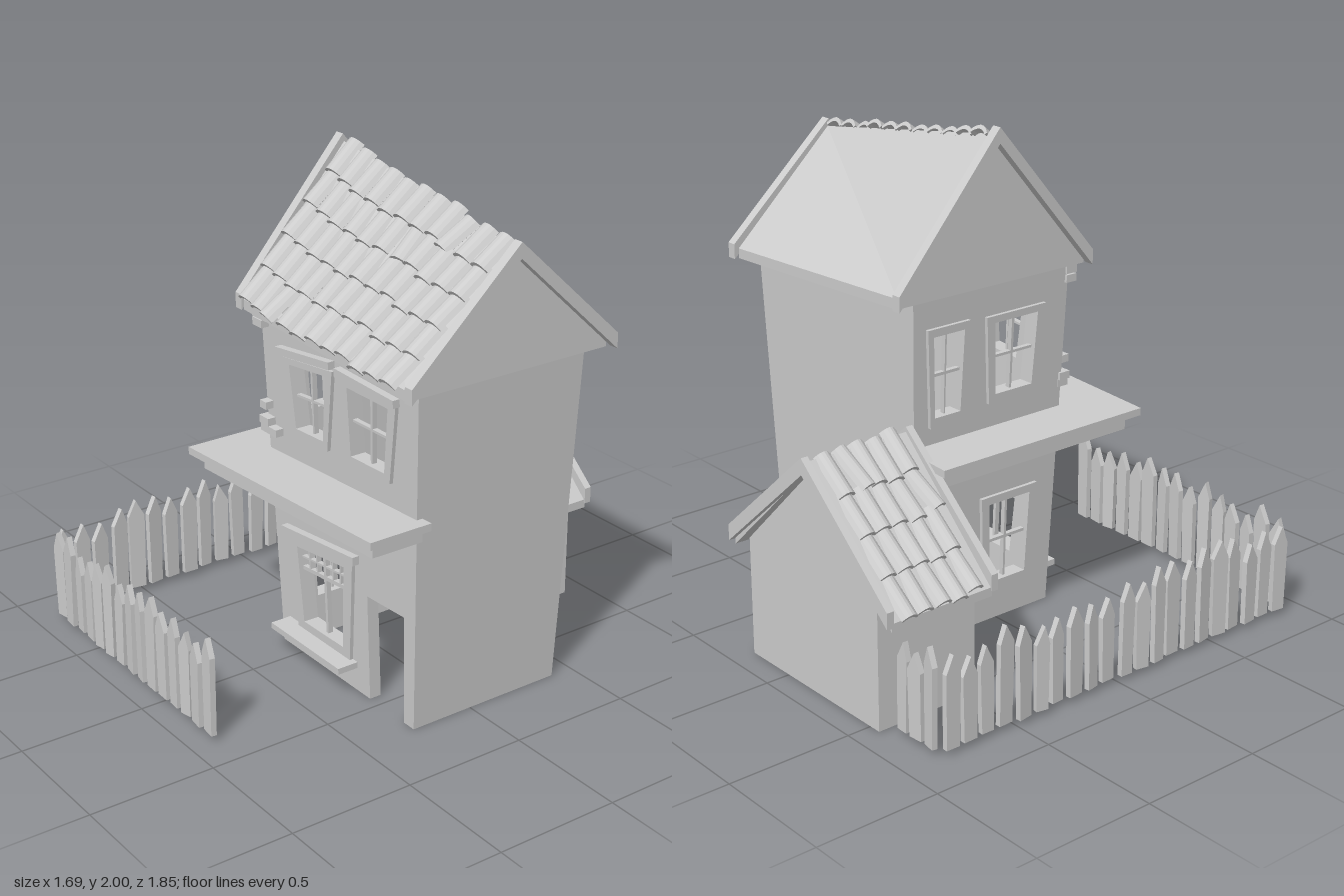
import * as THREE from 'three';

const gray = new THREE.MeshStandardMaterial({ color: 0xcccccc, side: THREE.DoubleSide });
gray.name = 'plainGray';

let seed = 7;
const rand = () => ((seed = (seed * 16807) % 2147483647) / 2147483647) * 2 - 1;
const V = (x, y, z) => new THREE.Vector3(x, y, z);

function add(parent, geometry, name) {
  const mesh = new THREE.Mesh(geometry, gray);
  mesh.name = name;
  parent.add(mesh);
  return mesh;
}
const poly = pts => new THREE.Shape(pts.map(p => new THREE.Vector2(p[0], p[1])));
const extrude = (shape, depth) => new THREE.ExtrudeGeometry(shape, { depth, bevelEnabled: false, curveSegments: 6 });

// Solid between two convex [z, y] sections at x0 and x1
function loft(x0, x1, a, b = a) {
  const pos = [], n = a.length;
  const A = i => [x0, a[i][1], a[i][0]], B = i => [x1, b[i][1], b[i][0]];
  for (let i = 0; i < n; i++) {
    const j = (i + 1) % n;
    pos.push(...A(i), ...A(j), ...B(j), ...A(i), ...B(j), ...B(i));
    if (i > 0 && i < n - 1) pos.push(...B(0), ...B(i), ...B(j), ...A(0), ...A(j), ...A(i));
  }
  const g = new THREE.BufferGeometry();
  g.setAttribute('position', new THREE.Float32BufferAttribute(pos, 3));
  g.computeVertexNormals();
  return g;
}

// Leaning wall planes: u along the wall, v up, w outward
const frontWarp = (u, v, w) => [u, v, 0.265 + 0.033 * v + w];
const leftWarp = (u, v, w) => [-0.13 - 0.04 * v - w, v, u];
function onWall(parent, warp, shape, w0, depth, name) {
  const g = extrude(shape, depth), p = g.attributes.position;
  for (let i = 0; i < p.count; i++) p.setXYZ(i, ...warp(p.getX(i), p.getY(i), p.getZ(i) + w0));
  g.computeVertexNormals();
  return add(parent, g, name);
}

// Crooked window: q = bottom left, bottom right, top right, top left
function makeWindow(parent, warp, q, name, lintel, lattice) {
  const group = new THREE.Group();
  group.name = name;
  parent.add(group);
  const P = (s, t) => [0, 1].map(k =>
    (1 - t) * ((1 - s) * q[0][k] + s * q[1][k]) + t * ((1 - s) * q[3][k] + s * q[2][k]));
  const rect = (s0, s1, t0, t1) => [P(s0, t0), P(s1, t0), P(s1, t1), P(s0, t1)];
  const inner = rect(0.13, 0.87, 0.1, 0.92);
  const frame = poly(q);
  frame.holes.push(poly(inner));
  onWall(group, warp, frame, -0.03, 0.045, 'windowFrame');
  const bar = (s0, s1, t0, t1) => onWall(group, warp, poly(rect(s0, s1, t0, t1)), -0.025, 0.02, 'glazingBar');
  bar(0.48, 0.52, 0.1, 0.92);
  if (lattice) {
    bar(0.13, 0.87, 0.66, 0.7);
    bar(0.13, 0.87, 0.79, 0.81);
    for (const s of [0.25, 0.37, 0.63, 0.75]) bar(s - 0.01, s + 0.01, 0.7, 0.92);
  } else bar(0.13, 0.87, 0.5, 0.53);
  if (lintel) onWall(group, warp, poly(lintel), 0, 0.03, 'lintel');
  return poly(inner);
}

// Curved tiles laid from ridge to eave
function makeTiles(parent, name, cols, rows, ridge, eave) {
  const group = new THREE.Group();
  group.name = name;
  parent.add(group);
  const across = ridge(1).sub(ridge(0)), w = across.length() / cols * 0.97;
  across.normalize();
  const s = new THREE.Shape();
  s.moveTo(-w / 2, 0);
  s.quadraticCurveTo(0, 0.055, w / 2, 0);
  s.lineTo(w / 2 - 0.008, -0.008);
  s.quadraticCurveTo(0, 0.03, -w / 2 + 0.008, -0.008);
  const len = ridge(0.5).distanceTo(eave(0.5)) / rows;
  const geo = extrude(s, len * 1.12);
  for (let c = 0; c < cols; c++) {
    const t = (c + 0.5) / cols, a = ridge(t), b = eave(t);
    const down = b.clone().sub(a).normalize(), out = down.clone().cross(across).normalize();
    const shift = rand() * 0.012;
    for (let r = 0; r < rows; r++) {
      const tile = add(group, geo, 'roofTile');
      const turn = rand(), yaw = turn * (Math.abs(turn) > 0.85 ? 0.16 : 0.04);
      const d = down.clone().addScaledVector(out, 0.13).addScaledVector(across, yaw).normalize();
      const x = across.clone().addScaledVector(d, -across.dot(d)).normalize();
      const m = new THREE.Matrix4().makeBasis(x, d.clone().cross(x), d);
      m.setPosition(a.clone().lerp(b, r / rows).addScaledVector(down, shift - len * 0.06));
      tile.applyMatrix4(m);
    }
  }
}

// Two sloping boards meeting at a ridge
function gableBoards(parent, x0, x1, mid, half, top, low, thick, name) {
  const [f, b] = [mid + half, mid - half];
  return [
    add(parent, loft(x0, x1, [[f, low], [mid, top - thick], [mid, top], [f, low + thick]]), name),
    add(parent, loft(x0, x1, [[mid, top - thick], [b, low], [b, low + thick], [mid, top]]), name)];
}

function makeHouse() {
  const house = new THREE.Group();
  house.name = 'house';

  // Front wall with windows and a doorway
  const front = poly([[-0.13, 0], [0.445, 0], [0.445, 0.44], [0.67, 0.45], [0.655, 0], [0.715, 0], [0.78, 1.37], [-0.186, 1.41]]);
  front.holes.push(
    makeWindow(house, frontWarp, [[0.015, 0.95], [0.24, 0.96], [0.285, 1.29], [-0.035, 1.25]], 'upperWindowA',
      [[-0.06, 1.255], [0.285, 1.3], [0.285, 1.33], [-0.06, 1.285]]),
    makeWindow(house, frontWarp, [[0.355, 0.96], [0.62, 0.97], [0.665, 1.285], [0.33, 1.285]], 'upperWindowB',
      [[0.32, 1.285], [0.67, 1.28], [0.67, 1.31], [0.32, 1.32]]),
    makeWindow(house, frontWarp, [[0.0, 0.12], [0.34, 0.12], [0.375, 0.555], [-0.045, 0.5]], 'lowerWindow',
      [[-0.07, 0.5], [0.4, 0.555], [0.4, 0.59], [-0.07, 0.54]], true));
  onWall(house, frontWarp, front, -0.05, 0.05, 'frontWall');
  onWall(house, frontWarp, poly([[-0.08, 0.1], [0.37, 0.1], [0.37, 0.125], [-0.08, 0.125]]), 0, 0.09, 'windowSill');

  // Left-hand wall with windows
  const side = poly([[-0.405, 0], [0.265, 0], [0.31, 1.4], [-0.44, 1.4]]);
  side.holes.push(
    makeWindow(house, leftWarp, [[-0.08, 0.93], [0.16, 0.93], [0.19, 1.28], [-0.1, 1.28]], 'sideWindowA'),
    makeWindow(house, leftWarp, [[-0.36, 0.9], [-0.2, 0.9], [-0.18, 1.29], [-0.38, 1.29]], 'sideWindowB'),
    makeWindow(house, leftWarp, [[-0.08, 0.13], [0.16, 0.13], [0.18, 0.54], [-0.1, 0.54]], 'sideWindowC'));
  onWall(house, leftWarp, side, -0.05, 0.05, 'sideWall');

  // Plain back and right walls
  const panel = (p, name) => {
    const g = new THREE.BufferGeometry().setFromPoints([p[0], p[1], p[2], p[0], p[2], p[3]]);
    g.computeVertexNormals();
    add(house, g, name);
  };
  panel([V(0.715, 0, -0.405), V(-0.13, 0, -0.405), V(-0.186, 1.41, -0.44), V(0.78, 1.37, -0.44)], 'backWall');
  panel([V(0.715, 0, 0.265), V(0.715, 0, -0.405), V(0.78, 1.37, -0.44), V(0.78, 1.37, 0.31)], 'plainWall');

  // Exposed corner bricks
  for (const [x, y, w] of [[-0.15, 1.385, 0.09], [-0.165, 1.35, 0.06], [-0.12, 0.925, 0.1], [-0.15, 0.955, 0.06], [-0.15, 1.02, 0.04]]) {
    const brick = add(house, new THREE.BoxGeometry(w, 0.03, 0.05), 'cornerBrick');
    brick.position.set(x, y, 0.275 + 0.033 * y);
  }

  // Roof falling toward one end, with end boards
  const section = (eave, top) => [[0.38, eave], [-0.52, eave], [-0.52, eave + 0.04], [-0.08, top], [0.38, eave + 0.04]];
  add(house, loft(-0.195, 0.805, section(1.4, 1.97), section(1.36, 1.82)), 'mainRoof');
  gableBoards(house, -0.235, -0.195, -0.075, 0.465, 2.0, 1.4, 0.06, 'endBoard');
  gableBoards(house, 0.805, 0.845, -0.075, 0.465, 1.85, 1.36, 0.06, 'endBoard');
  makeTiles(house, 'mainTiles', 11, 5,
    t => V(-0.19 + 0.99 * t, 1.965 - 0.14 * t, -0.09 + 0.015 * t),
    t => V(-0.19 + 0.99 * t, 1.435 - 0.025 * t, 0.4 + 0.01 * t));

  // Tilted canopy wrapping the corner, in two layers
  const canopy = (x0, x1, z, zBack, y, depth, name) => {
    const g = extrude(poly([[x0, -z], [x1, -z], [x1, -0.27], [-0.15, -0.27], [-0.15, -zBack], [x0, -zBack]]), depth);
    g.rotateX(-Math.PI / 2);
    const p = g.attributes.position;
    for (let i = 0; i < p.count; i++) p.setY(i, p.getY(i) + y + 0.051 * (p.getX(i) + 0.37));
    g.computeVertexNormals();
    add(house, g, name);
  };
  canopy(-0.37, 0.81, 0.535, -0.45, 0.79, 0.03, 'canopyTop');
  canopy(-0.33, 0.76, 0.49, -0.43, 0.73, 0.06, 'canopySupport');
  return house;
}

function makeShed() {
  const shed = new THREE.Group();
  shed.name = 'shed';
  const solid = new THREE.Group();
  solid.name = 'shedStructure';
  solid.rotation.y = Math.PI / 2;
  shed.add(solid);
  add(solid, loft(0.46, 0.9, [[0.23, 0], [-0.55, 0], [-0.55, 0.48], [-0.16, 0.86], [0.23, 0.48]]), 'shedBody');
  gableBoards(solid, 0.455, 0.905, -0.16, 0.48, 0.91, 0.425, 0.035, 'shedRoof');
  for (const z of [0.43, 0.9]) gableBoards(solid, z, z + 0.03, -0.16, 0.485, 0.93, 0.445, 0.065, 'shedEndBoard');
  makeTiles(shed, 'shedTiles', 5, 4,
    t => V(-0.15, 0.91, -0.87 + 0.38 * t), t => V(-0.62, 0.455, -0.87 + 0.38 * t));
  return shed;
}

function makeFence() {
  const fence = new THREE.Group();
  fence.name = 'fence';
  const picket = (x, z, angle) => {
    const w = 0.031 + 0.004 * rand(), h = 0.36 + 0.035 * rand(), tip = 0.008 * rand();
    const g = extrude(poly([[-w * 0.9, 0], [w * 0.9, 0], [w, h - 0.07], [tip, h], [-w, h - 0.07]]), 0.022);
    g.translate(0, 0, -0.011);
    const mesh = add(fence, g, 'picket');
    mesh.position.set(x, 0.025, z);
    mesh.rotation.set(0, angle + 0.18 * rand(), 0.02 * rand());
  };
  for (let i = 0; i < 15; i++) picket(-0.78 + 0.079 * i, 0.9 + 0.005 * rand(), 0);
  for (let i = 0; i < 21; i++) picket(-0.825 + 0.008 * rand(), -0.8 + 0.083 * i, Math.PI / 2);
  for (let i = 0; i < 3; i++) picket(-0.78 + 0.075 * i, -0.85, -0.1);
  return fence;
}

export function createModel() {
  seed = 7;
  const model = new THREE.Group();
  model.name = 'crookedHouse';
  model.add(makeHouse(), makeShed(), makeFence());
  return model;
}
